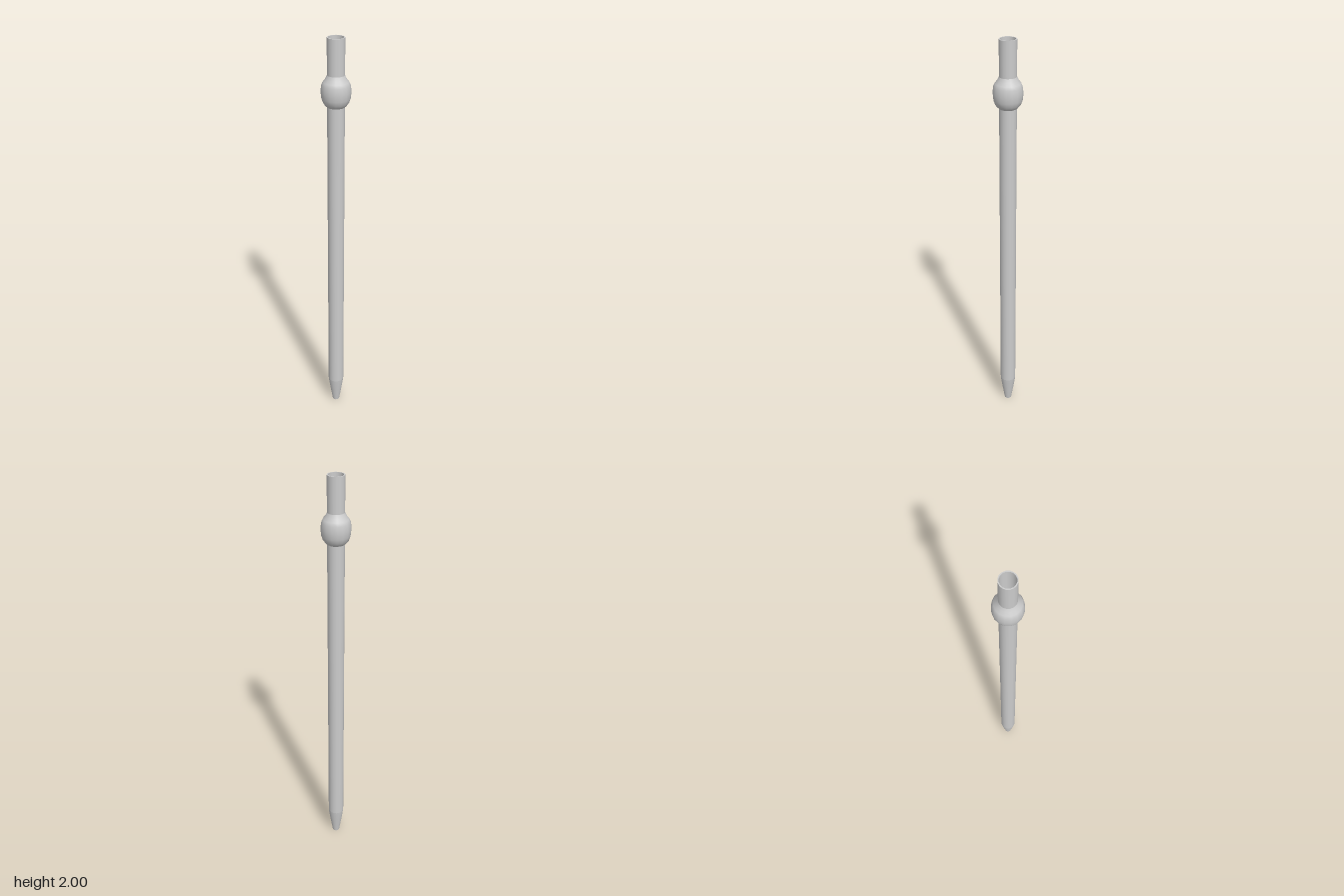
import * as THREE from 'three';

const SIDES = 16;

export function createModel() {
  const group = new THREE.Group();
  group.name = 'dropperTube';
  const material = new THREE.MeshStandardMaterial({ color: 0xcccccc });

  // Turned part from [radius, height] pairs; rising profiles face outward
  const turned = (name, profile) => {
    const points = profile.map(([r, y]) => new THREE.Vector2(r, y));
    const mesh = new THREE.Mesh(new THREE.LatheGeometry(points, SIDES), material);
    mesh.name = name;
    group.add(mesh);
  };

  // Outer profiles, bottom to top
  const tip = [[0.018, 0], [0.03, 0.075], [0.037, 0.12], [0.04, 0.145]];
  const stem = [[0.04, 0.145], [0.04, 1.69]];
  const bulb = [[0.04, 1.69], [0.049, 1.697], [0.059, 1.71], [0.066, 1.73], [0.069, 1.76],
    [0.066, 1.79], [0.059, 1.805], [0.048, 1.818], [0.04, 1.835]];
  const neck = [[0.04, 1.835], [0.04, 2]];

  turned('tip', tip);
  turned('stem', stem);
  turned('bulb', bulb);
  turned('neck', neck);

  // Hollow bore: the same profiles thinned by the wall and turned inward
  const wall = 0.005;
  const bore = (profile) => profile.map(([r, y]) => [r - wall, y]).reverse();
  turned('tipBore', bore(tip));
  turned('stemBore', bore(stem));
  turned('bulbBore', bore(bulb));
  turned('neckBore', bore(neck));

  // Flat rims closing the wall at both ends
  turned('topRim', [[0.04, 2], [0.04 - wall, 2]]);
  turned('bottomRim', [[0.018 - wall, 0], [0.018, 0]]);

  return group;
}
